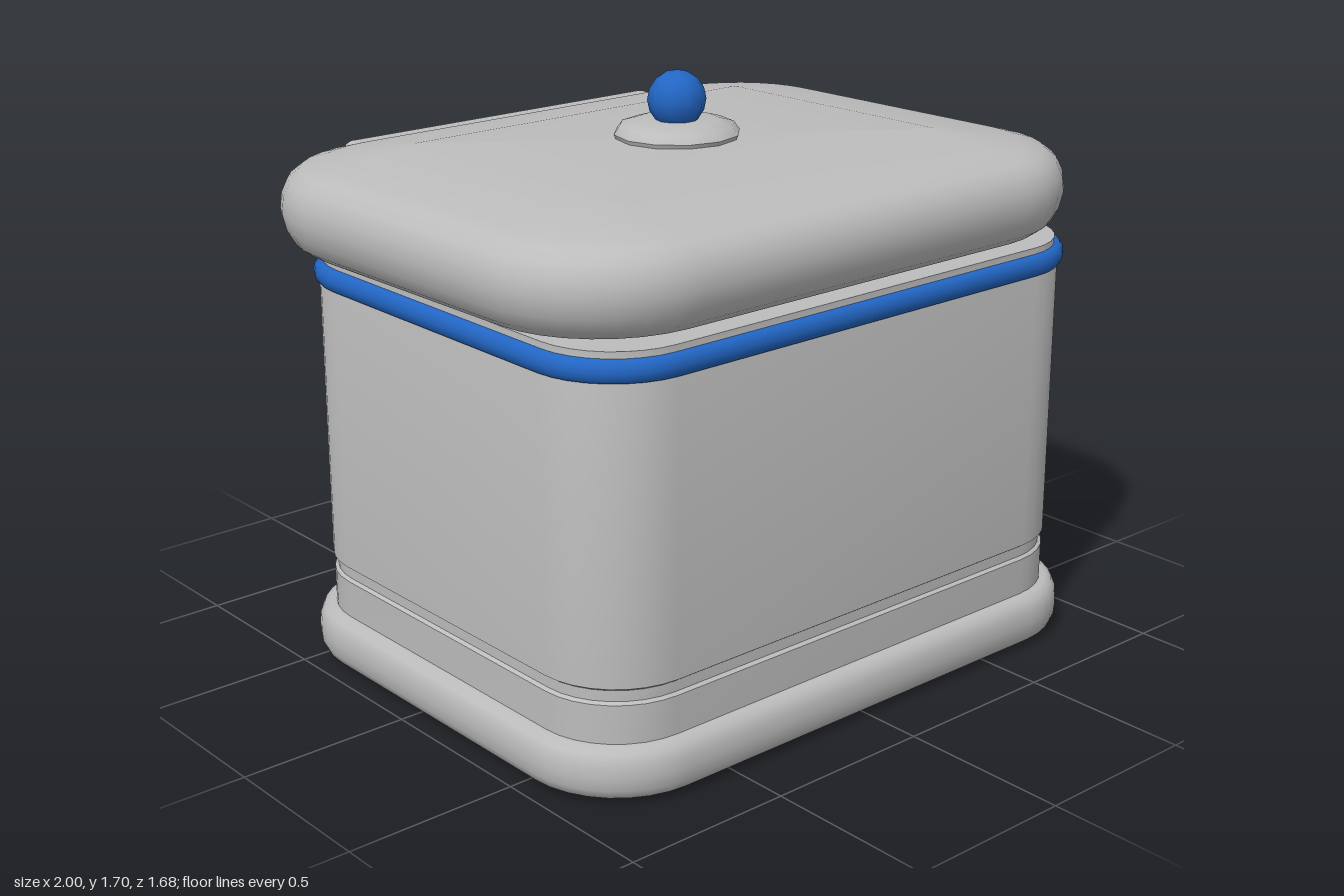
import * as THREE from 'three';
import { toCreasedNormals } from 'three/addons/utils/BufferGeometryUtils.js';
import { RoundedBoxGeometry } from 'three/addons/geometries/RoundedBoxGeometry.js';

const grey = new THREE.MeshStandardMaterial({ color: 0xbcbcbc, side: THREE.DoubleSide });
grey.name = 'enamel grey';
const blue = new THREE.MeshStandardMaterial({ color: 0x2266c4 });
blue.name = 'trim blue';

// Stacks rounded-rectangle rings, each [halfX, halfZ, cornerRadius, y], from bottom to top
function loft(rings, crease = 0.6, seg = 8) {
  const pos = [], index = [], n = 4 * (seg + 1);
  for (const [hx, hz, r, y] of rings) {
    for (let c = 0; c < 4; c++) {
      const sx = c === 0 || c === 3 ? 1 : -1, sz = c < 2 ? 1 : -1;
      for (let k = 0; k <= seg; k++) {
        const a = (c + k / seg) * Math.PI / 2;
        pos.push(sx * (hx - r) + r * Math.cos(a), y, sz * (hz - r) + r * Math.sin(a));
      }
    }
  }
  for (let i = 0; i < rings.length - 1; i++) {
    for (let j = 0; j < n; j++) {
      const a = i * n + j, b = i * n + (j + 1) % n;
      index.push(a, a + n, b, b, a + n, b + n);
    }
  }
  const g = new THREE.BufferGeometry();
  g.setAttribute('position', new THREE.Float32BufferAttribute(pos, 3));
  g.setIndex(index);
  return toCreasedNormals(g, crease);
}

// Body-shaped rings that share one offset outline, from [halfX, y] pairs
const bodyRings = (profile) => profile.map(([hx, y]) => [hx, hx - 0.21, hx - 0.67, y]);
const centre = (y) => [0, 0, 0, y];

function lathe(points, segments, crease = 0.6) {
  return toCreasedNormals(new THREE.LatheGeometry(points.map(([x, y]) => new THREE.Vector2(x, y)), segments), crease);
}

export function createModel() {
  const model = new THREE.Group();
  const add = (name, geometry, material, x = 0, y = 0, z = 0, parent = model) => {
    const mesh = new THREE.Mesh(geometry, material);
    mesh.name = name;
    mesh.position.set(x, y, z);
    parent.add(mesh);
    return mesh;
  };
  const bodyZ = 0.085;

  // Hollow rounded plinth
  add('base', loft(bodyRings([[0.89, 0.15], [0.89, 0.03], [0.905, 0.012], [0.93, 0.008], [0.95, 0.02], [0.962, 0.045],
    [0.965, 0.08], [0.962, 0.115], [0.95, 0.143], [0.93, 0.155], [0.9, 0.155]]), 0.8), grey, 0, 0, bodyZ);

  // Body walls with a groove near the bottom and a closed top
  add('body', loft([...bodyRings([[0.913, 0.14], [0.913, 0.265], [0.903, 0.272], [0.903, 0.303], [0.916, 0.312],
    [0.916, 1.15], [0.905, 1.19], [0.905, 1.215]]), centre(1.215)], 0.5), grey, 0, 0, bodyZ);

  // Coloured band under the lid
  add('band', loft(bodyRings([[0.9, 1.135], [0.92, 1.137], [0.929, 1.15], [0.932, 1.166], [0.929, 1.182],
    [0.92, 1.195], [0.9, 1.197]]), 0.9), blue, 0, 0, bodyZ);

  // Round turntable foot below the base
  add('foot', lathe([[0, 0.015], [0.55, 0.015], [0.6, 0.003], [0.65, 0], [0.7, 0.01], [0.72, 0.03],
    [0.71, 0.05], [0.67, 0.06], [0, 0.06]], 32), grey, 0, 0, bodyZ);

  // Lid group, raised a little at the front
  const lid = new THREE.Group();
  lid.name = 'lidAssembly';
  lid.position.set(0, 1.34, 0.015);
  lid.rotation.x = -0.01;
  model.add(lid);
  const lidRings = [[0.89, -0.122], [0.93, -0.115], [0.965, -0.09], [0.988, -0.05], [1, 0], [0.994, 0.045],
    [0.975, 0.085], [0.94, 0.112], [0.88, 0.128]].map(([hx, y]) => [hx, hx - 0.2, hx - 0.6, y]);
  add('lid', loft([centre(-0.122), ...lidRings, [0.61, 0.425, 0.012, 0.166], centre(0.166)], 0.5), grey, 0, 0, 0, lid);

  // Knob with its collar
  add('knobCollar', lathe([[0.17, 0.15], [0.182, 0.178], [0.165, 0.202], [0.12, 0.215], [0, 0.215]], 12, 0.9), grey, 0, 0, 0, lid);
  add('knobNeck', new THREE.CylinderGeometry(0.04, 0.05, 0.06, 10), grey, 0, 0.22, 0, lid);
  add('knob', new THREE.SphereGeometry(0.084, 10, 8), blue, 0, 0.272, 0, lid);

  // Grip bar on the back of the lid
  add('lidGrip', new RoundedBoxGeometry(1.17, 0.195, 0.14, 3, 0.035), grey, 0, 1.337, -0.768);

  // Rounded rectangular hoop on the back wall
  const hx = 0.61, y0 = 0.45, y1 = 1.105, r = 0.13;
  const path = new THREE.CurvePath();
  const corners = [[hx, y0], [hx, y1], [-hx, y1], [-hx, y0]].map(([x, y]) => new THREE.Vector3(x, y, 0));
  corners.forEach((p, i) => {
    const prev = corners[(i + 3) % 4], next = corners[(i + 1) % 4], after = corners[(i + 2) % 4];
    const toward = (a, b) => a.clone().add(b.clone().sub(a).normalize().multiplyScalar(r));
    path.add(new THREE.QuadraticBezierCurve3(toward(p, prev), p, toward(p, next)));
    path.add(new THREE.LineCurve3(toward(p, next), toward(next, p)));
  });
  add('backHoop', new THREE.TubeGeometry(path, 120, 0.04, 10, true), grey, 0, 0, -0.645);

  // Ledge crossing the bottom of the hoop
  add('backLedge', loft([centre(0.438), [0.655, 0.085, 0.05, 0.438], [0.68, 0.105, 0.06, 0.452], [0.69, 0.112, 0.065, 0.477],
    [0.68, 0.105, 0.06, 0.502], [0.655, 0.085, 0.05, 0.516], centre(0.516)], 0.9), grey, 0, 0, -0.726);

  return model;
}
